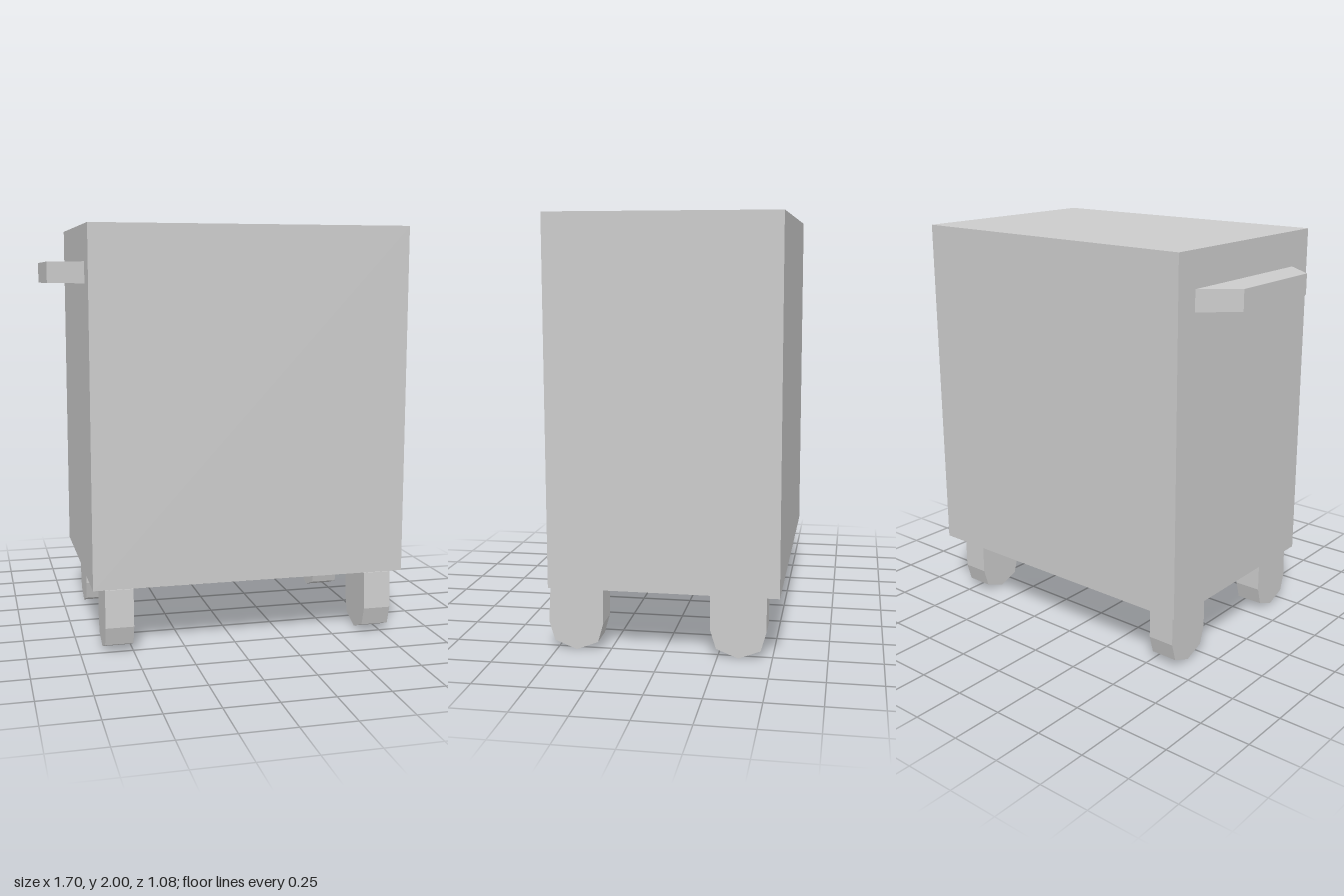
import * as THREE from 'three';

const material = new THREE.MeshStandardMaterial({ color: 0xcccccc, flatShading: true });

function extrude(points, depth) {
  const shape = new THREE.Shape(points.map(([x, y]) => new THREE.Vector2(x, y)));
  return new THREE.ExtrudeGeometry(shape, { depth, bevelEnabled: false });
}

export function createModel() {
  const model = new THREE.Group();
  model.name = 'rollingCabinet';

  const add = (name, geometry, x, y, z) => {
    const mesh = new THREE.Mesh(geometry, material);
    mesh.name = name;
    mesh.position.set(x, y, z);
    model.add(mesh);
  };

  // Cabinet body
  add('body', new THREE.BoxGeometry(1.54, 1.69, 1.06), 0.08, 1.155, -0.007);

  // Side handle: a tapered slab, outline in x and -z
  const handle = extrude([[-0.69, -0.385], [-0.69, 0.415], [-0.85, 0.28], [-0.85, -0.25]], 0.1);
  handle.rotateX(-Math.PI / 2);
  add('handle', handle, 0, 1.73, 0);

  // Casters: half-round faceted profile in z and y, extruded across x
  const width = 0.135;
  const caster = (topFront) => extrude([
    [-0.128, 0.31], [-0.128, 0.13], [-0.102, 0.04], [0, 0],
    [0.102, 0.04], [0.13, 0.13], [topFront, 0.31],
  ], width).rotateY(-Math.PI / 2);

  for (const [side, x] of [['Left', 0.718], ['Right', -0.568]]) {
    add('frontCaster' + side, caster(0.12), x + width / 2, 0, 0.409);
    add('backCaster' + side, caster(0.13), x + width / 2, 0, -0.346);
  }

  return model;
}
